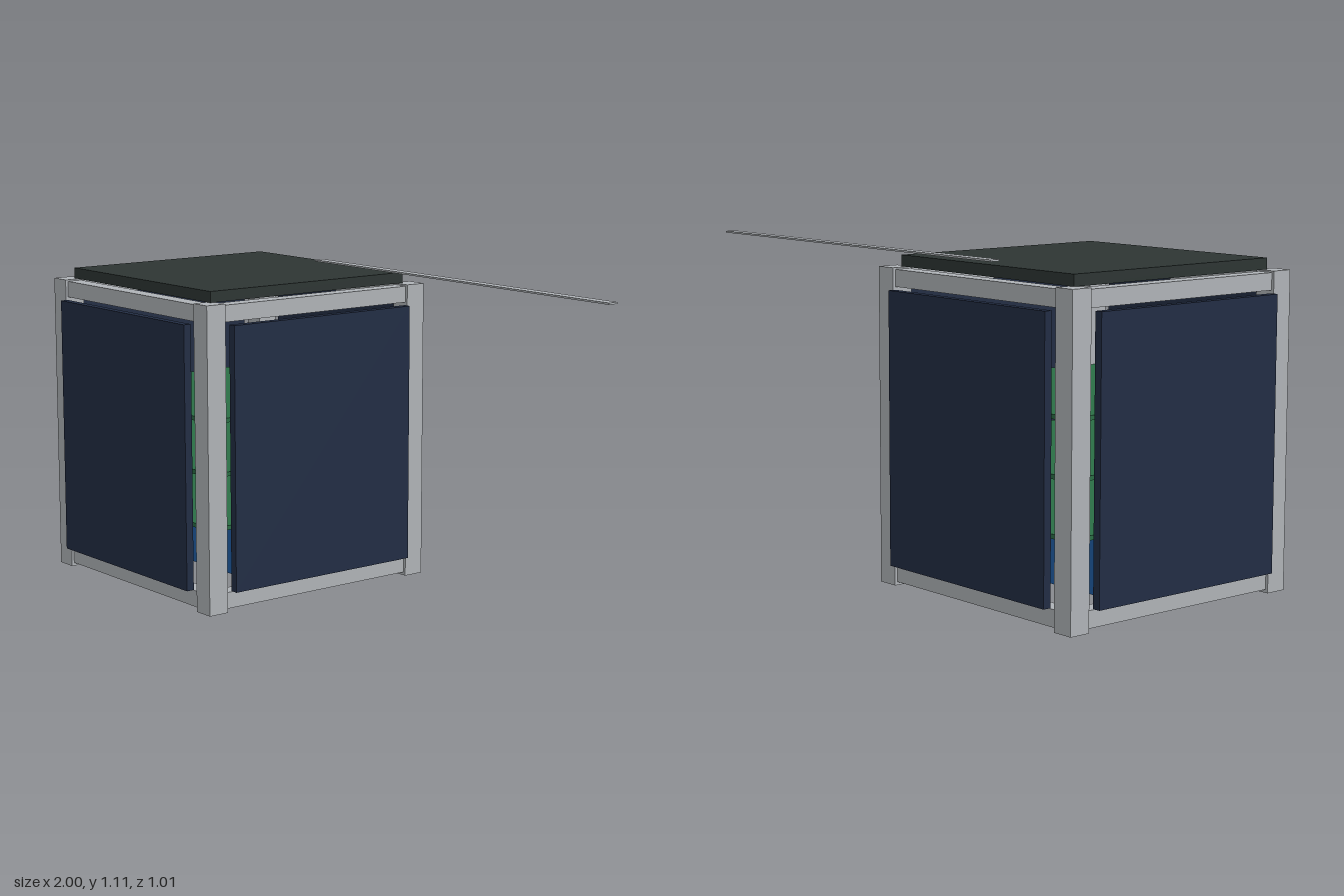
import * as THREE from 'three';

const mat = (name, color) => {
  const m = new THREE.MeshStandardMaterial({ color });
  m.name = name;
  return m;
};

export function createModel() {
  const aluminium = mat('aluminium', 0xb0b4b8);
  const navy = mat('solar navy', 0x222d44);
  const charcoal = mat('charcoal', 0x2d3533);
  const green = mat('board green', 0x2a6e45);
  const blue = mat('battery blue', 0x2060a8);

  const model = new THREE.Group();
  model.name = 'cubeSatellite';

  // The body sits to the right, balanced by the long antenna
  const body = new THREE.Group();
  body.name = 'body';
  body.position.x = -0.5;
  model.add(body);

  const box = (name, material, size, pos) => {
    const mesh = new THREE.Mesh(new THREE.BoxGeometry(...size), material);
    mesh.name = name;
    mesh.position.set(...pos);
    body.add(mesh);
  };

  // Corner posts
  const c = 0.435;
  for (const sx of [-1, 1])
    for (const sz of [-1, 1])
      box('cornerPost', aluminium, [0.076, 1.06, 0.076], [sx * c, 0.53, sz * c]);

  // Rails joining the posts at top and bottom
  for (const y of [0.04, 1.026])
    for (const s of [-1, 1]) {
      box('crossRail', aluminium, [0.794, 0.057, 0.057], [0, y, s * c]);
      box('sideRail', aluminium, [0.057, 0.057, 0.794], [s * c, y, 0]);
    }

  // Solar panels standing just off the four sides
  for (const s of [-1, 1]) {
    box('solarPanel', navy, [0.766, 0.915, 0.028], [0, 0.532, s * 0.489]);
    box('solarPanel', navy, [0.028, 0.915, 0.766], [s * 0.489, 0.532, 0]);
  }

  // Stack of circuit boards and the battery below it
  for (const y of [0.283, 0.47, 0.656])
    box('circuitBoard', green, [0.85, 0.015, 0.85], [0, y, 0]);
  box('battery', blue, [0.56, 0.19, 0.372], [0, 0.142, 0]);

  // Top plate and the tape antenna above it
  box('topPlate', charcoal, [0.84, 0.038, 0.84], [0, 1.079, 0]);
  box('tapeAntenna', aluminium, [1.5, 0.006, 0.038], [0.75, 1.106, -0.374]);

  return model;
}
